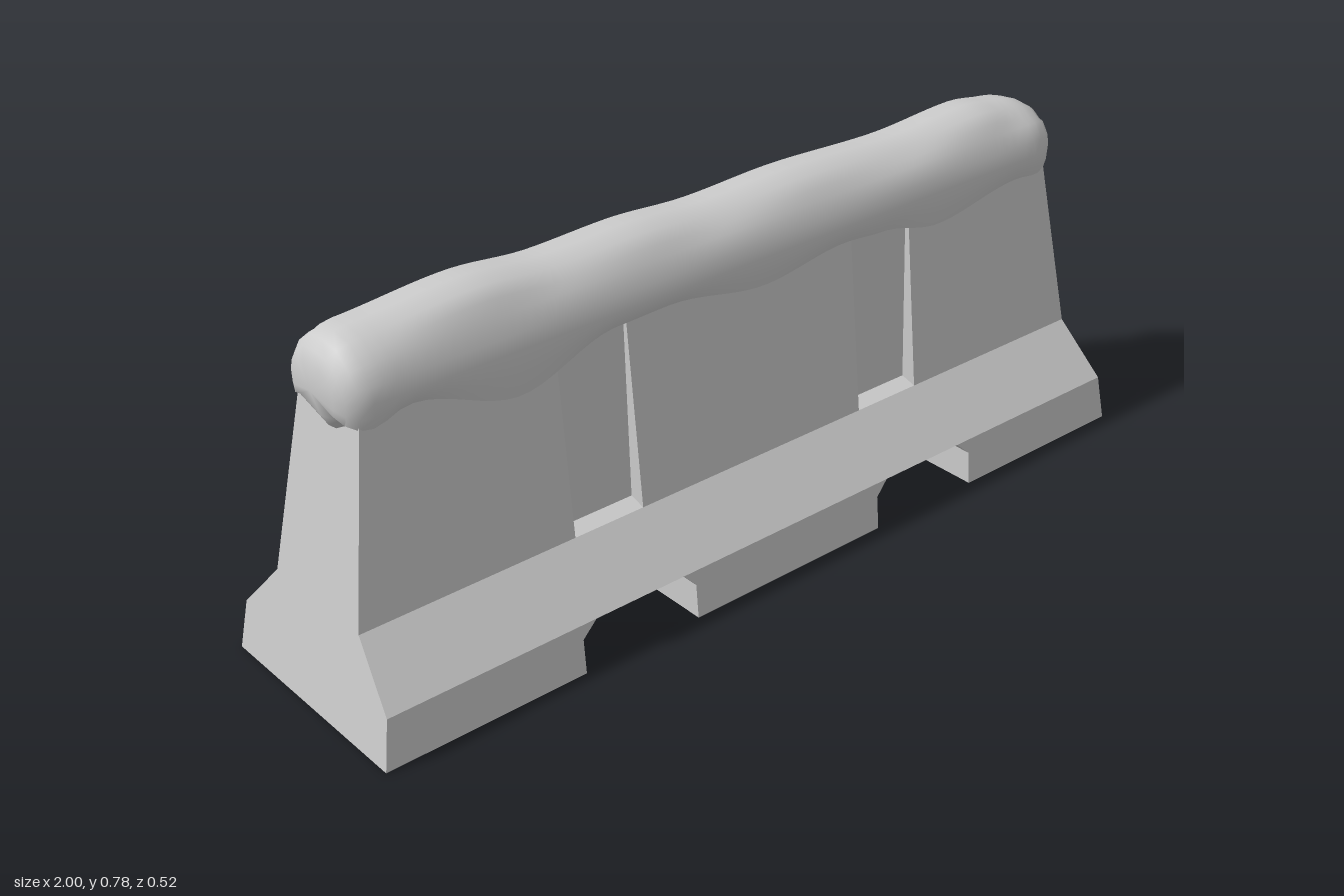
import * as THREE from 'three';
import { toCreasedNormals } from 'three/addons/utils/BufferGeometryUtils.js';

const grey = new THREE.MeshStandardMaterial({ color: 0xcccccc });

// Half length of the barrier at height y (the ends lean inwards)
const endX = (y) => 1 - 0.161 * y;

function add(parent, name, geometry) {
  const mesh = new THREE.Mesh(geometry, grey);
  mesh.name = name;
  parent.add(mesh);
}

// Box with its own x range and half depth at bottom and top
function taperedBlock([y0, l0, r0, z0], [y1, l1, r1, z1]) {
  const geo = new THREE.BoxGeometry(1, 1, 1);
  const p = geo.attributes.position;
  for (let i = 0; i < p.count; i++) {
    const up = p.getY(i) > 0, right = p.getX(i) > 0, front = p.getZ(i) > 0 ? 1 : -1;
    p.setXYZ(i, up ? (right ? r1 : l1) : (right ? r0 : l0), up ? y1 : y0, front * (up ? z1 : z0));
  }
  geo.computeVertexNormals();
  return geo;
}

// Foot outline extruded through the depth, slightly narrower at the top
function footGeometry(points) {
  const shape = new THREE.Shape(points.map(([x, y]) => new THREE.Vector2(x, y)));
  const geo = new THREE.ExtrudeGeometry(shape, { depth: 1, bevelEnabled: false });
  const p = geo.attributes.position;
  for (let i = 0; i < p.count; i++) {
    p.setZ(i, (p.getZ(i) > 0.5 ? 1 : -1) * (0.258 - 0.01 * p.getY(i) / 0.107));
  }
  geo.computeVertexNormals();
  return geo;
}

// Smooth interpolation through [x, value] pairs
function sample(table, x) {
  if (x <= table[0][0]) return table[0][1];
  for (let i = 1; i < table.length; i++) {
    const [x0, v0] = table[i - 1], [x1, v1] = table[i];
    if (x <= x1) return THREE.MathUtils.lerp(v0, v1, THREE.MathUtils.smoothstep(x, x0, x1));
  }
  return table[table.length - 1][1];
}

const frontEdge = [[-0.9, 0.6], [-0.8, 0.63], [-0.56, 0.56], [-0.33, 0.627], [-0.2, 0.63],
  [0.05, 0.594], [0.27, 0.62], [0.38, 0.612], [0.55, 0.58], [0.8, 0.615], [0.9, 0.605]];
const backEdge = [[-0.9, 0.6], [-0.7, 0.59], [-0.35, 0.625], [-0.05, 0.55], [0.15, 0.575],
  [0.4, 0.63], [0.58, 0.61], [0.75, 0.595], [0.9, 0.605]];
const topLine = [[-0.88, 0.762], [-0.6, 0.78], [-0.42, 0.766], [-0.22, 0.772], [-0.03, 0.762],
  [0.2, 0.77], [0.5, 0.76], [0.74, 0.773], [0.87, 0.758]];

// Half section of the snow from the wall, around the edge, towards the crest
const halfSection = (edge, top) => [
  [0.088, edge + 0.005], [0.111, edge], [0.118, edge + (0.66 - edge) * 0.45], [0.12, 0.66],
  [0.113, 0.69], [0.092, 0.724], [0.074, top - 0.026], [0.05, top - 0.006]];

function snowGeometry() {
  // Rings: [x, depth scale, height scale]; both ends close in
  const rings = [[-0.928, 0.55, 0.5], [-0.918, 0.75, 0.72], [-0.9, 0.9, 0.88], [-0.875, 0.97, 0.97]];
  for (let i = 0; i <= 60; i++) rings.push([-0.85 + i * 1.7 / 60, 1, 1]);
  rings.push([0.875, 0.97, 0.97], [0.905, 0.88, 0.88], [0.93, 0.72, 0.7], [0.943, 0.5, 0.45]);

  const pos = [], index = [];
  let n = 0;
  for (const [x, sz, sy] of rings) {
    const top = sample(topLine, x), f = sample(frontEdge, x), b = sample(backEdge, x);
    const loop = [
      ...halfSection(f, top), [0, top],
      ...halfSection(b, top).reverse().map(([z, y]) => [-z, y]),
      [0.035, Math.min(f, b) - 0.03]];
    n = loop.length;
    for (const [z, y] of loop) pos.push(x, 0.66 + (y - 0.66) * sy, z * sz);
  }
  const last = (rings.length - 1) * n, tipA = rings.length * n, tipB = tipA + 1;
  pos.push(-0.935, 0.66, 0, 0.952, 0.665, 0);
  for (let j = 0; j < n; j++) {
    const k = (j + 1) % n;
    for (let a = 0; a < last; a += n) {
      index.push(a + j, a + n + j, a + n + k, a + j, a + n + k, a + k);
    }
    index.push(tipA, j, k, tipB, last + k, last + j);
  }
  const geo = new THREE.BufferGeometry();
  geo.setAttribute('position', new THREE.Float32BufferAttribute(pos, 3));
  geo.setIndex(index);
  return toCreasedNormals(geo, 1.0);
}

export function createModel() {
  const model = new THREE.Group();
  model.name = 'snowyBarrier';
  const barrier = new THREE.Group();
  barrier.name = 'concreteBarrier';
  model.add(barrier);

  const ledgeY = 0.107, wallY = 0.225, topY = 0.7;

  // Three feet with chamfered lifting slots between them
  add(barrier, 'middleFoot', footGeometry([[-0.255, 0], [0.255, 0], [0.255, 0.075],
    [0.285, ledgeY], [-0.285, ledgeY], [-0.255, 0.075]]));
  const outer = [[0.54, 0], [1, 0], [endX(ledgeY), ledgeY], [0.505, ledgeY], [0.54, 0.075]];
  add(barrier, 'leftFoot', footGeometry(outer));
  add(barrier, 'rightFoot', footGeometry(outer.map(([x, y]) => [-x, y]).reverse()));

  // Sloped ledge above the feet
  const xa = endX(ledgeY), xb = endX(wallY), xc = endX(topY);
  add(barrier, 'slopedLedge', taperedBlock([ledgeY, -xa, xa, 0.248], [wallY, -xb, xb, 0.142]));

  // Wall panels, with a thinner core showing in the recesses
  add(barrier, 'middlePanel', taperedBlock([wallY, -0.3, 0.3, 0.142], [topY, -0.3, 0.3, 0.092]));
  add(barrier, 'leftPanel', taperedBlock([wallY, 0.47, xb, 0.142], [topY, 0.47, xc, 0.092]));
  add(barrier, 'rightPanel', taperedBlock([wallY, -xb, -0.47, 0.142], [topY, -xc, -0.47, 0.092]));
  for (const [side, l, r] of [['left', 0.3, 0.47], ['right', -0.47, -0.3]]) {
    add(barrier, side + 'RecessWall', taperedBlock([wallY, l, r, 0.106], [topY, l, r, 0.088]));
    add(barrier, side + 'RecessFloor', taperedBlock([wallY, l, r, 0.142], [0.236, l, r, 0.105]));
  }

  // Snow draped along the top
  add(model, 'snowCap', snowGeometry());
  return model;
}
